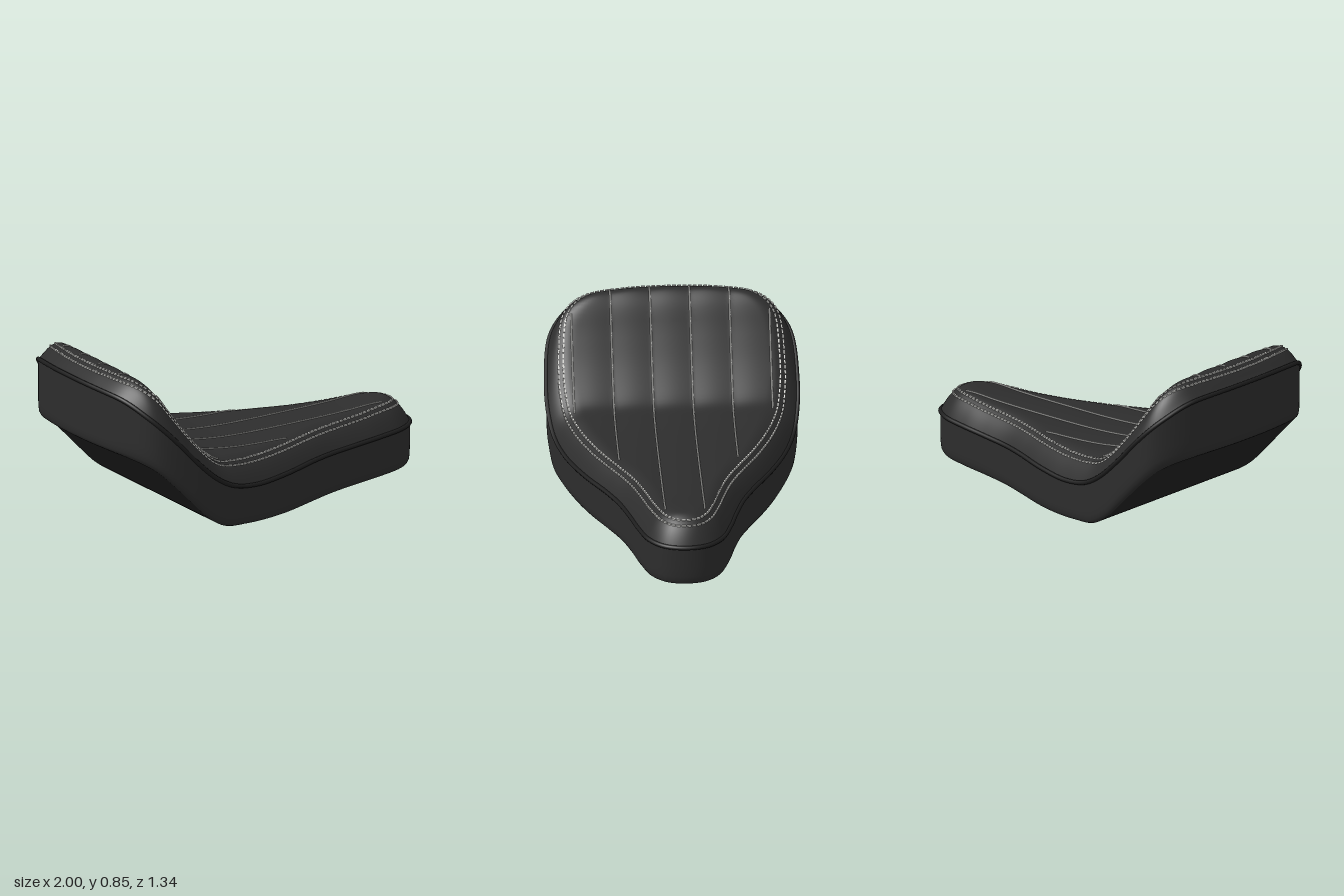
import * as THREE from 'three';
import { mergeGeometries, mergeVertices } from 'three/addons/utils/BufferGeometryUtils.js';

const paint = (name, color) => {
  const m = new THREE.MeshStandardMaterial({ color });
  m.name = name;
  return m;
};

// Smooth height curve y(x) through a few points
const profile = (pts) => {
  const c = new THREE.CubicInterpolant(pts.map(p => p[0]), pts.map(p => p[1]), 1);
  return x => c.evaluate(THREE.MathUtils.clamp(x, pts[0][0], pts[pts.length - 1][0]))[0];
};
const bottomY = profile([[-1, 0.45], [-0.9, 0.425], [-0.8, 0.37], [-0.7, 0.28], [-0.6, 0.18], [-0.5, 0.085],
  [-0.4, 0.028], [-0.25, 0.01], [0, 0.003], [0.2, 0.012], [0.6, 0.042], [1, 0.075]]);
const pipingY = profile([[-1, 0.77], [-0.93, 0.74], [-0.84, 0.66], [-0.7, 0.525], [-0.58, 0.40], [-0.47, 0.305],
  [-0.36, 0.245], [-0.2, 0.217], [0, 0.222], [0.25, 0.243], [0.5, 0.257], [0.75, 0.278], [1, 0.297]]);
const crownY = profile([[-1, 0.80], [-0.94, 0.84], [-0.88, 0.848], [-0.83, 0.833], [-0.78, 0.79], [-0.69, 0.665],
  [-0.58, 0.523], [-0.47, 0.413], [-0.41, 0.376], [-0.3, 0.359], [-0.1, 0.353], [0.33, 0.377], [0.6, 0.4],
  [0.83, 0.428], [1, 0.42]]);

// Plan outline: half curve sampled from rear to nose, then mirrored
const HALF = 130;
const side = [[-0.975, 0.24], [-0.922, 0.475], [-0.8, 0.62], [-0.6, 0.655], [-0.45, 0.643], [-0.29, 0.605],
  [-0.1, 0.54], [0.08, 0.465], [0.25, 0.385], [0.4, 0.322], [0.56, 0.277], [0.72, 0.24], [0.87, 0.19], [0.96, 0.11]];
const knots = [[-0.988, 0], ...side, [0.988, 0], ...side.map(([x, z]) => [x, -z]).reverse()];
const half = new THREE.CatmullRomCurve3(knots.map(([x, z]) => new THREE.Vector3(x, 0, z)), true)
  .getSpacedPoints(HALF * 2).slice(0, HALF + 1);
half[0].z = half[HALF].z = 0;
const outline = [...half, ...half.slice(1, -1).reverse().map(p => new THREE.Vector3(p.x, 0, -p.z))];
const N = outline.length;

// Outline moved inward by d
const inset = d => outline.map((p, i) => {
  const t = outline[(i + 1) % N].clone().sub(outline[(i + N - 1) % N]).normalize();
  return new THREE.Vector3(p.x + t.z * d, 0, p.z - t.x * d);
});

function edgeDistance(x, z) {
  let best = 9;
  for (let i = 0; i < N; i++) {
    const a = outline[i], b = outline[(i + 1) % N], dx = b.x - a.x, dz = b.z - a.z;
    const t = THREE.MathUtils.clamp(((x - a.x) * dx + (z - a.z) * dz) / (dx * dx + dz * dz), 0, 1);
    best = Math.min(best, Math.hypot(x - a.x - dx * t, z - a.z - dz * t));
  }
  return best;
}

// Cushion surface: rolls up from the piping, with shallow lengthwise pleats
const PLEAT = 0.207;
function cushionY(x, z) {
  const d = edgeDistance(x, z);
  const roll = 1 - Math.pow(1 - Math.min(d / 0.16, 1), 2.6);
  const pleat = 0.007 * Math.abs(Math.cos(Math.PI * z / PLEAT)) * THREE.MathUtils.smoothstep(d, 0.08, 0.15);
  return THREE.MathUtils.lerp(pipingY(x), crownY(x), roll) + pleat;
}

// Skin closed rings of N points, each ring following the last
function loft(rings) {
  const pos = rings.flatMap(r => r.flatMap(p => [p.x, p.y, p.z]));
  const index = [];
  for (let k = 0; k < rings.length - 1; k++) for (let i = 0; i < N; i++) {
    const j = (i + 1) % N, a = k * N + i, b = k * N + j, c = b + N, d = a + N;
    index.push(a, b, c, a, c, d);
  }
  let g = new THREE.BufferGeometry();
  g.setAttribute('position', new THREE.Float32BufferAttribute(pos, 3));
  g.setIndex(index);
  g = mergeVertices(g, 1e-5);
  g.computeVertexNormals();
  return g;
}

// Row of short stitches running round the cushion
function stitchRow(d) {
  const path = new THREE.CatmullRomCurve3(inset(d).map(p => p.setY(cushionY(p.x, p.z) + 0.002)), true);
  const count = Math.round(path.getLength() / 0.027);
  const helper = new THREE.Object3D();
  const dashes = [];
  for (let i = 0; i < count; i++) {
    helper.position.copy(path.getPointAt(i / count));
    helper.lookAt(helper.position.clone().add(path.getTangentAt(i / count)));
    helper.updateMatrix();
    dashes.push(new THREE.BoxGeometry(0.008, 0.008, 0.019).applyMatrix4(helper.matrix));
  }
  return mergeGeometries(dashes);
}

// Thin thread lying in a pleat groove
function pleatThread(z, x0, x1) {
  const pts = [];
  for (let i = 0; i <= 60; i++) {
    const x = x0 + (x1 - x0) * i / 60;
    pts.push(new THREE.Vector3(x, cushionY(x, z) + 0.003, z));
  }
  return new THREE.TubeGeometry(new THREE.CatmullRomCurve3(pts), 100, 0.0045, 5);
}

export function createModel() {
  const seat = new THREE.Group();
  seat.name = 'saddleSeat';
  const vinyl = paint('blackVinyl', 0x2d2d2d);
  const trim = paint('pipingBlack', 0x1e1e1e);
  const base = paint('baseBlack', 0x202020);
  const thread = paint('lightThread', 0xd2d2ce);
  const add = (name, geometry, material) => {
    const m = new THREE.Mesh(geometry, material);
    m.name = name;
    seat.add(m);
  };

  // Padded top, rings shrinking from the edge to a central spine
  const RINGS = 46, topRings = [];
  for (let k = 0; k <= RINGS; k++) {
    const t = Math.pow(k / RINGS, 1.5);
    topRings.push(outline.map(p => {
      const x = THREE.MathUtils.lerp(p.x, THREE.MathUtils.clamp(p.x, -0.72, 0.78), t), z = p.z * (1 - t);
      return new THREE.Vector3(x, cushionY(x, z), z);
    }));
  }
  add('cushion', loft(topRings), vinyl);

  // Side skirt with a rounded lower edge: [inset, rise above the bottom]
  const skirt = [[0.028, 0], [0.014, 0.006], [0.005, 0.022], [0.001, 0.05], [0, 0.1]].map(([d, h]) =>
    inset(d).map(p => p.setY(bottomY(p.x) + h)));
  skirt.push(inset(0).map(p => p.setY(pipingY(p.x))));
  add('sideSkirt', loft(skirt), vinyl);

  // Underside pan
  const rim = skirt[0];
  const pan = [0, 0.5, 1].map(s => rim.map(p => new THREE.Vector3(p.x, p.y, p.z * s)));
  add('basePan', loft(pan), base);

  // Piping round the seam
  const seam = new THREE.CatmullRomCurve3(outline.map(p => new THREE.Vector3(p.x, pipingY(p.x), p.z)), true);
  add('piping', new THREE.TubeGeometry(seam, 260, 0.012, 8, true), trim);

  // Double border stitching
  add('outerStitching', stitchRow(0.064), thread);
  add('innerStitching', stitchRow(0.09), thread);

  // Pleat threads, mirrored left and right
  for (const s of [1, -1]) {
    const sideName = s > 0 ? 'front' : 'back';
    [[0.5, -0.88, 0.8], [1.5, -0.87, 0.13], [2.5, -0.76, -0.39]].forEach(([n, x0, x1], i) =>
      add(`${sideName}PleatThread${i + 1}`, pleatThread(s * n * PLEAT, x0, x1), thread));
  }
  return seat;
}
